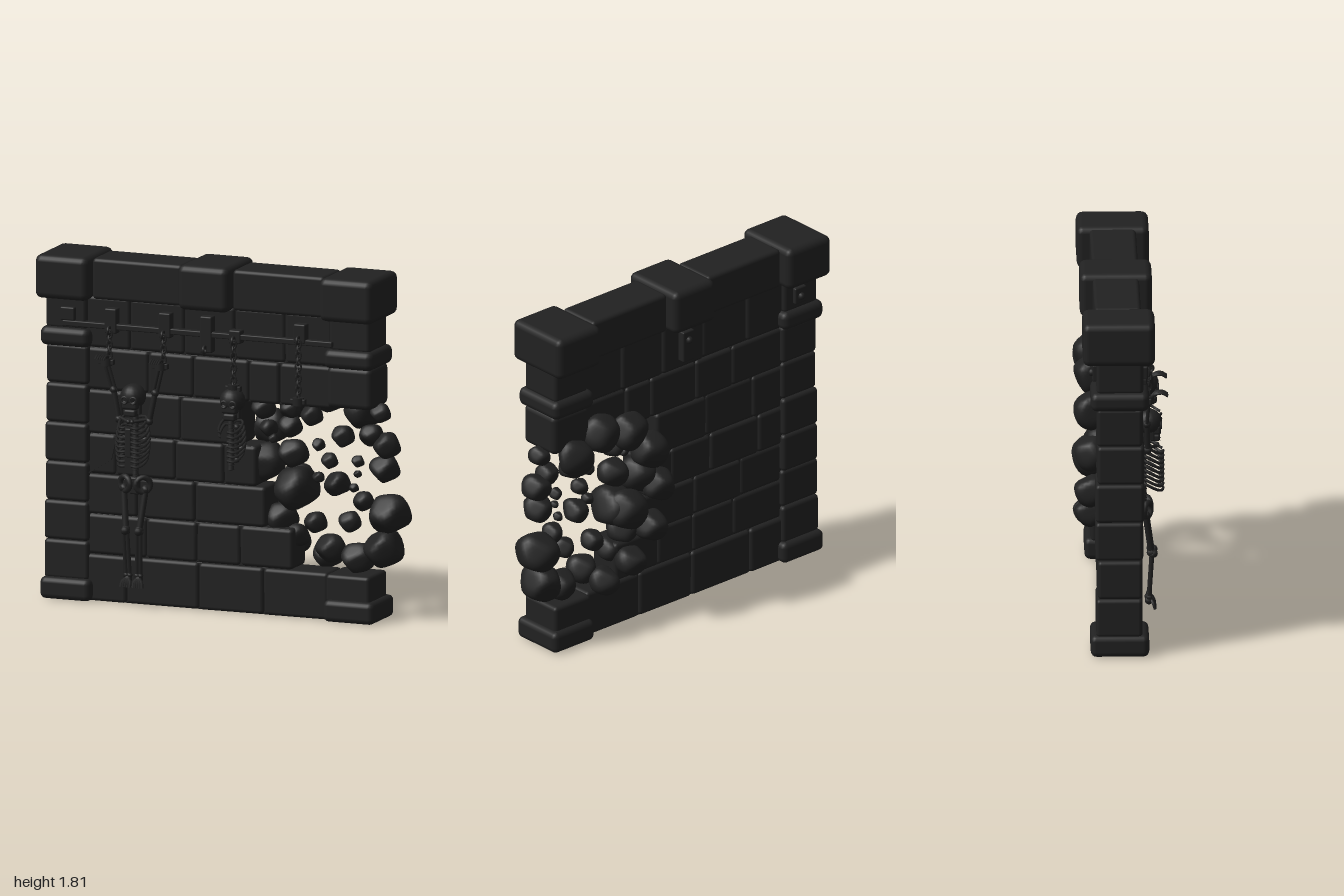
import * as THREE from 'three';
import { mergeVertices } from 'three/addons/utils/BufferGeometryUtils.js';
import { RoundedBoxGeometry } from 'three/addons/geometries/RoundedBoxGeometry.js';

const charcoal = new THREE.MeshStandardMaterial({ color: 0x212121 });
charcoal.name = 'charcoal';

let seed = 7;
const rnd = () => (seed = (seed * 16807) % 2147483647) / 2147483647;
const jit = (a) => (rnd() * 2 - 1) * a;
const V = (x, y, z) => new THREE.Vector3(x, y, z);

function add(parent, name, geo, x = 0, y = 0, z = 0) {
  const m = new THREE.Mesh(geo, charcoal);
  m.name = name;
  m.position.set(x, y, z);
  parent.add(m);
  return m;
}

function group(parent, name, x = 0, y = 0, z = 0) {
  const g = new THREE.Group();
  g.name = name;
  g.position.set(x, y, z);
  parent.add(g);
  return g;
}

// Worn block given by its extents
function block(parent, name, x0, x1, y0, y1, z0, z1, r = 0.02) {
  const geo = new RoundedBoxGeometry(x1 - x0, y1 - y0, z1 - z0, 2, r);
  return add(parent, name, geo, (x0 + x1) / 2, (y0 + y1) / 2, (z0 + z1) / 2);
}

// Boulder: a sphere cut by scattered planes, with softened corners
function rock(parent, x, y, z, r, depth) {
  let geo = new THREE.IcosahedronGeometry(1, 5);
  geo.deleteAttribute('normal');
  geo.deleteAttribute('uv');
  geo = mergeVertices(geo);
  const planes = [];
  for (let i = 0; i < 8; i++) {
    const a = i * 2.4 + jit(0.5), h = -0.9 + i * 0.257, s = Math.sqrt(1 - h * h);
    planes.push([V(Math.cos(a) * s, h, Math.sin(a) * s), 0.74 + rnd() * 0.14]);
  }
  const p = geo.attributes.position, v = V(0, 0, 0);
  for (let i = 0; i < p.count; i++) {
    v.fromBufferAttribute(p, i).normalize();
    // Blend the nearest faces so the edges come out rounded
    let sum = 1;
    for (const [n, d] of planes) sum += Math.pow(Math.max(0, v.dot(n) / d), 12);
    v.multiplyScalar(1.12 * Math.pow(sum, -1 / 12));
    p.setXYZ(i, v.x * r, v.y * r, v.z * depth);
  }
  geo.computeVertexNormals();
  add(parent, 'rock', geo, x, y, z);
}

function tube(parent, name, pts, r, seg = 10) {
  add(parent, name, new THREE.TubeGeometry(new THREE.CatmullRomCurve3(pts), seg, r, 6));
}

// Long bone with a knob at each end
function bone(parent, name, a, b, r) {
  const m = add(parent, name, new THREE.CylinderGeometry(r, r, a.distanceTo(b), 7));
  m.position.copy(a).lerp(b, 0.5);
  m.quaternion.setFromUnitVectors(V(0, 1, 0), b.clone().sub(a).normalize());
  for (const e of [a, b]) add(parent, name + 'Knob', new THREE.SphereGeometry(r * 1.4, 8, 6), e.x, e.y, e.z);
}

function chain(parent, x, y0, y1) {
  const g = group(parent, 'chain', x, 0, 0.135);
  const n = Math.round((y0 - y1) / 0.03);
  for (let i = 0; i <= n; i++) {
    const link = add(g, 'link', new THREE.TorusGeometry(0.015, 0.005, 5, 10), 0, y0 + (y1 - y0) * i / n, 0);
    link.scale.y = 1.4;
    link.rotation.y = i % 2 ? Math.PI / 2 : 0.2;
  }
}

function shackle(parent, x, y) {
  const m = add(parent, 'shackle', new THREE.CylinderGeometry(0.03, 0.03, 0.04, 12), x, y, 0.135);
  block(m, 'shackleLock', -0.042, 0.042, -0.014, 0.014, -0.014, 0.014, 0.004);
}

function skull(parent, x, y, z) {
  const g = group(parent, 'skull', x, y, z);
  add(g, 'cranium', new THREE.SphereGeometry(0.066, 18, 14), 0, 0.012, -0.005);
  block(g, 'cheeks', -0.043, 0.043, -0.05, 0, 0, 0.055, 0.014);
  block(g, 'jaw', -0.034, 0.034, -0.088, -0.05, 0, 0.05, 0.012);
  for (const s of [-1, 1]) {
    add(g, 'eyeSocket', new THREE.TorusGeometry(0.017, 0.006, 6, 12), s * 0.024, 0, 0.055);
    block(g, 'jawHinge', s * 0.04 - 0.007, s * 0.04 + 0.007, -0.078, -0.01, -0.01, 0.02, 0.005);
  }
}

// Curved ribs on one side of a spine, dropping towards the front
function ribs(parent, x, yTop, count, s, width) {
  for (let i = 0; i < count; i++) {
    const w = s * width * (0.72 + 0.28 * Math.sin((i + 1) / count * 2.6)), y = yTop - i * 0.025;
    tube(parent, 'rib', [V(x, y, 0.1), V(x + w * 0.8, y + 0.008, 0.105), V(x + w, y - 0.015, 0.15),
      V(x + w * 0.7, y - 0.04, 0.2), V(x + s * 0.015, y - 0.035, 0.212)], 0.0075, 12);
  }
}

function spine(parent, x, y0, y1, z) {
  for (let y = y0; y > y1; y -= 0.024) add(parent, 'vertebra', new THREE.CylinderGeometry(0.015, 0.018, 0.02, 8), x, y, z);
  bone(parent, 'spineCore', V(x, y0, z), V(x, y1, z), 0.01);
}

export function createModel() {
  const root = new THREE.Group();
  root.name = 'dungeonWall';

  // Wall courses: bottom, top, then joints from left to right
  const wall = group(root, 'wall');
  for (const [y0, y1, ...xs] of [
    [0.005, 0.25, -0.75, -0.52, -0.12, 0.24, 0.6],
    [0.25, 0.46, -0.75, -0.41, -0.13, 0.11, 0.4],
    [0.46, 0.67, -0.75, -0.46, -0.14, 0.25],
    [0.67, 0.88, -0.75, -0.58, -0.25, 0.02, 0.2],
    [0.88, 1.11, -0.75, -0.54, -0.22, 0.12],
    [1.11, 1.33, -0.75, -0.4, -0.15, 0.16, 0.33, 0.62],
    [1.33, 1.6, -0.75, -0.5, -0.2, 0.08, 0.36, 0.62],
  ]) {
    block(wall, 'mortar', xs[0], xs.at(-1) - 0.02, y0, y1, -0.1, 0.06, 0.004);
    for (let i = 1; i < xs.length; i++) {
      block(wall, 'stone', xs[i - 1], xs[i], y0, y1, -0.115 + jit(0.007), 0.075 + jit(0.007), 0.02).rotation.z = jit(0.008);
    }
  }
  // Chip in the stone face
  const chip = new THREE.Shape([new THREE.Vector2(-0.73, 0.67), new THREE.Vector2(-0.6, 0.75), new THREE.Vector2(-0.57, 0.88)]);
  add(wall, 'chip', new THREE.ExtrudeGeometry(chip, { depth: 0.008, bevelEnabled: false }), 0, 0, 0.078);

  // Pillars, the right one broken through
  const pillars = group(root, 'pillars');
  for (let i = 0; i < 6; i++) {
    block(pillars, 'pillarBlock', -0.965 + jit(0.008), -0.725, 0.11 + i * 0.205, 0.315 + i * 0.205, -0.14 + jit(0.006), 0.1 + jit(0.006));
  }
  block(pillars, 'pillarBlock', 0.595, 0.84, 0.1, 0.25, -0.14, 0.1);
  block(pillars, 'pillarBlock', 0.6, 0.85, 1.12, 1.34, -0.14, 0.1, 0.03);
  for (const [x0, x1] of [[-0.985, -0.71], [0.59, 0.865]]) {
    block(pillars, 'pillarBase', x0, x1 + 0.005, 0.005, 0.12, -0.17, 0.13, 0.03);
    block(pillars, 'pillarRing', x0, x1, 1.33, 1.43, -0.17, 0.13, 0.035);
    block(pillars, 'pillarNeck', x0 + 0.025, x1 - 0.025, 1.42, 1.6, -0.14, 0.1);
  }

  // Coping
  const coping = group(root, 'coping');
  for (const [x0, x1] of [[-0.705, -0.205], [0.075, 0.585]]) block(coping, 'copingBeam', x0, x1, 1.585, 1.8, -0.145, 0.093);
  for (const [x0, x1, top] of [[-1, -0.705, 1.808], [-0.205, 0.075, 1.815], [0.58, 0.875, 1.806]]) {
    block(coping, 'copingCap', x0, x1, 1.58, top, -0.21, 0.16, 0.035);
  }

  // Rubble in the opening: x, y and radius
  const rubble = group(root, 'rubble');
  for (const [x, y, r] of [
    [0.35, 1.07, 0.05], [0.35, 0.985, 0.058], [0.23, 0.965, 0.045], [0.26, 0.915, 0.025], [0.2, 1.07, 0.06],
    [0.36, 0.84, 0.075], [0.2, 0.79, 0.1], [0.37, 0.655, 0.115], [0.3, 0.5, 0.08], [0.38, 0.41, 0.065],
    [0.49, 0.49, 0.056], [0.57, 0.36, 0.075], [0.57, 0.82, 0.042], [0.51, 0.9, 0.033], [0.64, 0.95, 0.058],
    [0.61, 0.7, 0.066], [0.51, 0.73, 0.03], [0.68, 0.51, 0.055], [0.76, 0.62, 0.052], [0.73, 0.83, 0.032],
    [0.73, 0.765, 0.02], [0.71, 0.69, 0.024], [0.47, 1.05, 0.055], [0.8, 0.97, 0.058], [0.88, 0.92, 0.07],
    [0.87, 0.8, 0.075], [0.89, 0.56, 0.105], [0.86, 0.38, 0.1], [0.72, 0.32, 0.08], [0.85, 1.09, 0.052],
  ]) rock(rubble, x, y, -r * 0.5, r, r * 1.1);
  // Bulging stones around the rear of the opening, smaller towards the bottom
  for (let i = 0; i < 8; i++) {
    const a = (55 + i * 31) * Math.PI / 180;
    const r = 0.088 + 0.014 * Math.sin(a);
    rock(rubble, 0.5 + 0.36 * Math.cos(a), 0.73 + 0.42 * Math.sin(a), -0.14, r, 0.088);
  }
  rock(rubble, 0.35, 0.66, -0.14, 0.105, 0.095);

  // Iron rail, brackets and chains
  const iron = group(root, 'ironwork');
  block(iron, 'rail', -0.86, 0.64, 1.44, 1.47, 0.08, 0.12, 0.006);
  block(iron, 'railEnd', -0.87, -0.79, 1.47, 1.54, 0.07, 0.125, 0.008);
  for (const [x, y0, y1, chainEnd] of [[-0.59, 1.42, 1.55, 1.31], [-0.29, 1.42, 1.55, 1.31], [-0.06, 1.36, 1.55],
    [0.1, 1.42, 1.49, 1.2], [0.46, 1.45, 1.55, 1.18]]) {
    block(iron, 'bracket', x - 0.033, x + 0.033, y0, y1, 0.07, 0.125, 0.008);
    add(iron, 'ringBolt', new THREE.TorusGeometry(0.018, 0.007, 6, 12), x, y0 + 0.02, 0.14).rotation.y = Math.PI / 2;
    if (chainEnd) chain(iron, x, y0, chainEnd);
  }
  shackle(iron, 0.46, 1.15);
  // Plates on the rear
  for (const [x, y0] of [[-0.83, 1.46], [-0.06, 1.38]]) {
    block(iron, 'rearPlate', x - 0.038, x + 0.038, y0, 1.55, -0.16, -0.1, 0.008);
    add(iron, 'rearBolt', new THREE.SphereGeometry(0.02, 10, 8), x, 1.5, -0.16);
  }

  // Full skeleton
  const sk = group(root, 'hangingSkeleton', -0.455);
  skull(sk, 0, 1.095, 0.145);
  spine(sk, 0, 1.04, 0.66, 0.11);
  block(sk, 'breastbone', -0.016, 0.016, 0.8, 0.95, 0.2, 0.215, 0.005);
  block(sk, 'sacrum', -0.028, 0.028, 0.59, 0.68, 0.1, 0.13, 0.01);
  for (const s of [-1, 1]) {
    const P = (x, y, z) => V(s * x, y, z);
    ribs(sk, 0, 0.99, 9, s, 0.088);
    bone(sk, 'collarbone', P(0.01, 0.98, 0.18), P(0.08, 0.99, 0.13), 0.009);
    const hip = add(sk, 'hipBone', new THREE.TorusGeometry(0.038, 0.015, 7, 14), s * 0.05, 0.645, 0.13);
    hip.rotation.y = s * 0.5;
    bone(sk, 'upperArm', P(0.085, 0.98, 0.13), P(0.115, 1.13, 0.125), 0.015);
    for (const o of [-0.01, 0.01]) {
      bone(sk, 'forearm', P(0.115 + o, 1.13, 0.125), P(0.15 + o, 1.26, 0.135), 0.009);
      bone(sk, 'shin', P(0.037 + o, 0.4, 0.155), P(0.03 + o, 0.17, 0.14), 0.011);
    }
    shackle(sk, s * 0.15, 1.275);
    for (let f = 0; f < 5; f++) {
      const x = 0.127 + f * 0.012;
      tube(sk, 'finger', [P(0.15, 1.28, 0.14), P(x, 1.31, 0.17), P(x, 1.315, 0.205), P(x, 1.3, 0.232)], 0.006);
      tube(sk, 'toe', [P(0.03, 0.16, 0.145), P(0.01 + f * 0.011, 0.14, 0.16), P(0.008 + f * 0.013, 0.11, 0.17)], 0.008, 6);
    }
    bone(sk, 'thigh', P(0.06, 0.62, 0.12), P(0.037, 0.41, 0.15), 0.017);
    add(sk, 'kneecap', new THREE.SphereGeometry(0.022, 10, 8), s * 0.037, 0.405, 0.162);
    add(sk, 'heel', new THREE.SphereGeometry(0.022, 10, 8), s * 0.03, 0.15, 0.138);
  }

  // Half skeleton beside the opening
  const half = group(root, 'brokenSkeleton', 0.08);
  skull(half, 0.015, 1.115, 0.14);
  shackle(half, 0.02, 1.19);
  spine(half, 0, 1.06, 0.77, 0.12);
  ribs(half, 0, 1.01, 7, 1, 0.085);
  ribs(half, 0, 1.01, 2, -1, 0.05);
  bone(half, 'upperArm', V(0.04, 0.99, 0.14), V(0.04, 0.82, 0.14), 0.012);
  return root;
}
